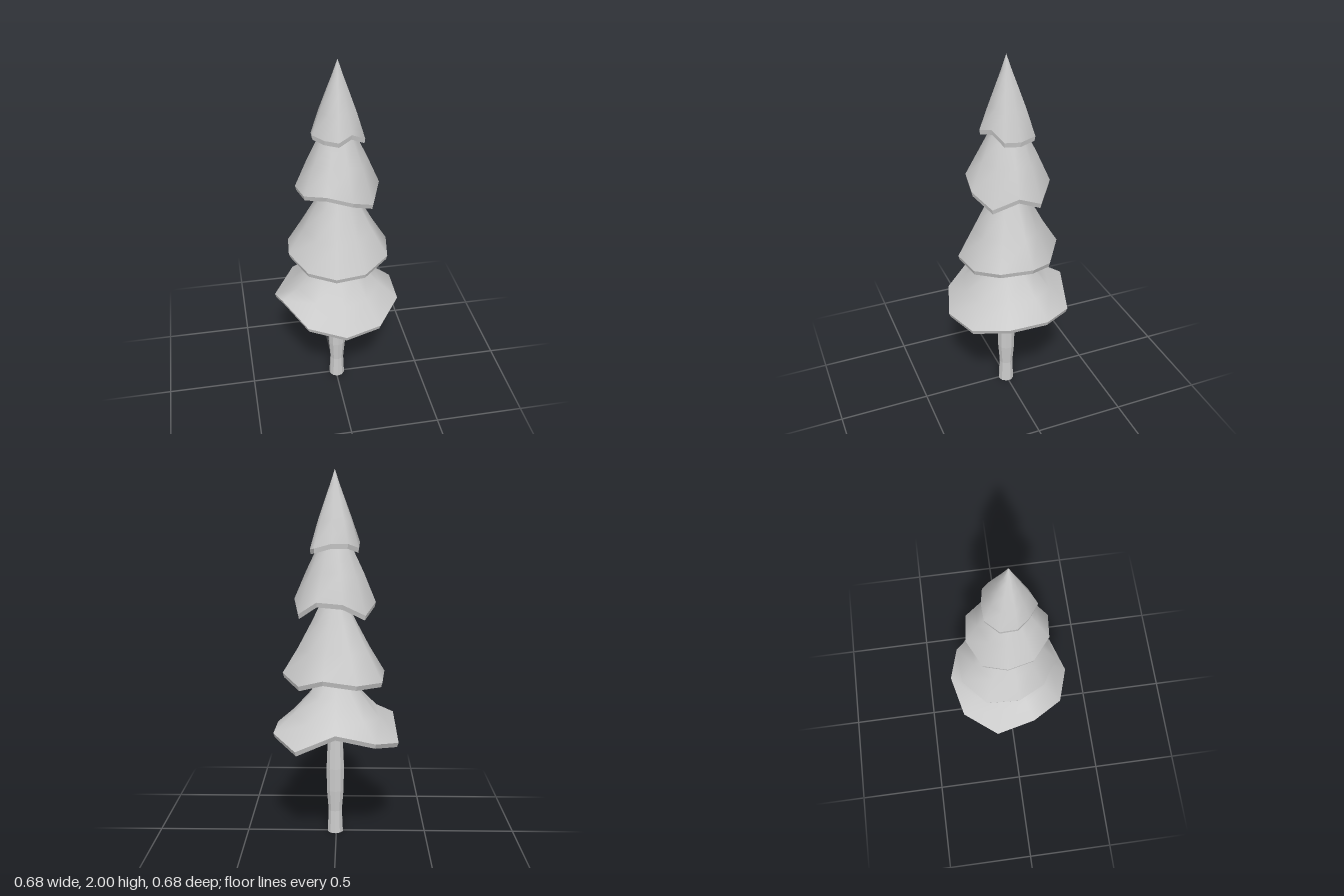
import * as THREE from 'three';
import { mergeGeometries } from 'three/addons/utils/BufferGeometryUtils.js';

const SIDES = 10;
const LIP = 0.025; // thickness of the rim edge
const SPREAD = [0, 0.2, 0.42, 0.7]; // share of the rim radius, from the apex down

// Surface through a stack of equal-length rings, each ring closed on itself.
function skin(rings, flat = false) {
  const index = [];
  for (let r = 0; r < rings.length - 1; r++) {
    for (let i = 0; i < SIDES; i++) {
      const j = (i + 1) % SIDES, a = r * SIDES, b = a + SIDES;
      index.push(a + i, a + j, b + j, a + i, b + j, b + i);
    }
  }
  let geometry = new THREE.BufferGeometry();
  geometry.setAttribute('position', new THREE.Float32BufferAttribute(rings.flat(2), 3));
  geometry.setIndex(index);
  if (flat) geometry = geometry.toNonIndexed();
  geometry.computeVertexNormals();
  return flat ? geometry : geometry.toNonIndexed();
}

// Hollow skirt: heights run down the cone at SPREAD; radii repeat around the rim,
// droop is the height of each rim corner, turn the angle of the first one.
function branchTier({ name, center: [cx, cz], turn, heights, radii, droop }, material) {
  const mean = droop.reduce((sum, y) => sum + y, 0) / SIDES;
  const ring = (share, heightAt) => droop.map((y, i) => {
    const angle = THREE.MathUtils.degToRad(turn) + (i / SIDES) * Math.PI * 2;
    const radius = radii[i % radii.length] * share;
    return [cx + Math.sin(angle) * radius, heightAt(y), cz - Math.cos(angle) * radius];
  });
  // The rim's waviness fades out towards the apex
  const cone = (shrink, drop) => SPREAD.map((share, k) =>
    ring(share * shrink, (y) => heights[k] - drop + (y - mean) * share * share * 0.7));

  const rimTop = ring(1, (y) => y + LIP);
  const rimBottom = ring(0.975, (y) => y);
  const geometry = mergeGeometries([
    skin([...cone(1, 0), rimTop]),
    skin([rimTop, rimBottom], true),
    skin([rimBottom, ...cone(0.95, 0.03).reverse()]),
  ]);
  const mesh = new THREE.Mesh(geometry, material);
  mesh.name = name;
  return mesh;
}

const tiers = [
  {
    name: 'bottomBranches', center: [0, 0], turn: 0,
    heights: [1.06, 0.95, 0.81, 0.7],
    radii: [0.34, 0.358, 0.356, 0.35, 0.34, 0.34, 0.34, 0.333, 0.356, 0.358],
    droop: [0.645, 0.54, 0.585, 0.585, 0.537, 0.535, 0.575, 0.65, 0.535, 0.585],
  },
  {
    name: 'lowerMiddleBranches', center: [0.012, -0.008], turn: -24.5,
    heights: [1.46, 1.34, 1.21, 1.06],
    radii: [0.293, 0.273, 0.251, 0.279, 0.283, 0.26, 0.273, 0.26, 0.276, 0.295],
    droop: [0.89, 0.915, 0.862, 0.905, 0.9, 0.863, 0.87, 0.865, 0.905, 0.88],
  },
  {
    name: 'upperMiddleBranches', center: [0.008, -0.008], turn: -11.7,
    heights: [1.8, 1.71, 1.6, 1.47],
    radii: [0.219],
    droop: [1.3, 1.31, 1.235, 1.3, 1.235, 1.295, 1.335, 1.3, 1.29, 1.235],
  },
  {
    name: 'topBranches', center: [0.008, 0], turn: -29,
    heights: [2, 1.92, 1.84, 1.737],
    radii: [0.143, 0.13, 0.155, 0.133, 0.143, 0.113, 0.138, 0.119, 0.135, 0.139],
    droop: [1.6, 1.6, 1.575, 1.565, 1.575, 1.62, 1.6, 1.595, 1.6, 1.575],
  },
];

export function createModel() {
  const group = new THREE.Group();
  group.name = 'pineTree';
  const material = new THREE.MeshStandardMaterial({ color: 0xcccccc });

  // Trunk, slightly swollen in the middle
  const trunkProfile = [[0, 0], [0.045, 0], [0.039, 0.13], [0.049, 0.25], [0.051, 0.38], [0.044, 0.54], [0.038, 0.85]]
    .map(([r, y]) => new THREE.Vector2(r, y));
  const trunk = new THREE.Mesh(
    new THREE.LatheGeometry(trunkProfile, SIDES),
    new THREE.MeshStandardMaterial({ color: 0xcccccc, flatShading: true }),
  );
  trunk.name = 'trunk';
  trunk.position.x = 0.006;
  group.add(trunk);

  // Four hollow, ragged skirts of branches
  for (const tier of tiers) group.add(branchTier(tier, material));

  return group;
}
